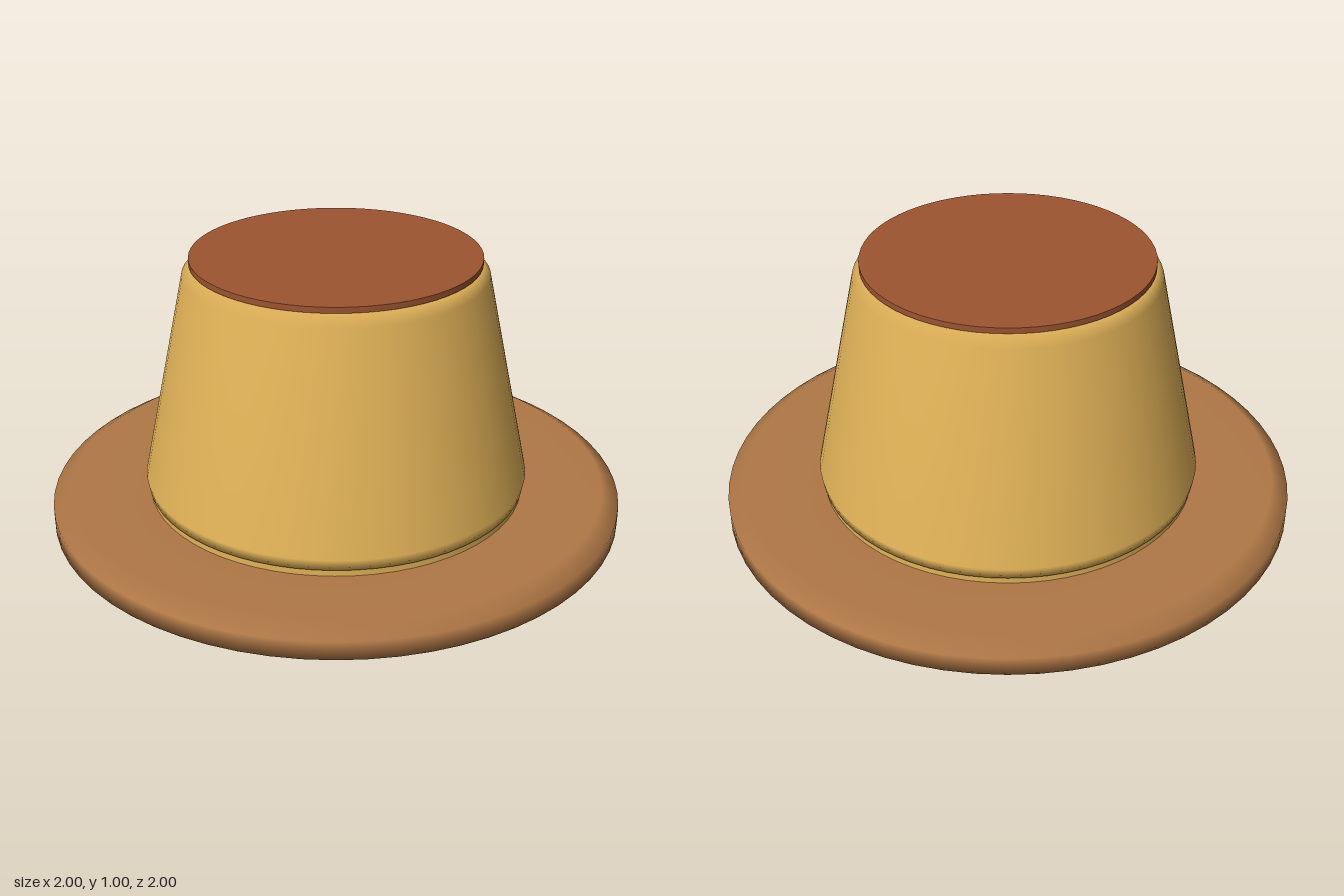
import * as THREE from 'three';

const SEGMENTS = 64;

function material(name, color) {
  const m = new THREE.MeshStandardMaterial({ color });
  m.name = name;
  return m;
}

export function createModel() {
  const group = new THREE.Group();
  group.name = 'custardOnPlate';

  const plateBrown = material('plate brown', 0xb07846);
  const custardYellow = material('custard yellow', 0xe2b358);
  const caramelRed = material('caramel red brown', 0x9c5430);

  const add = (name, geometry, mat, y = 0) => {
    const mesh = new THREE.Mesh(geometry, mat);
    mesh.name = name;
    mesh.position.y = y;
    group.add(mesh);
  };

  // Smooth turned solid from a bottom-to-top profile of [radius, height]
  const turned = (profile) => new THREE.LatheGeometry(
    profile.map(([r, y]) => new THREE.Vector2(r, y)), SEGMENTS);

  // Slightly dished plate with a bevelled rim
  add('plate', turned([
    [0, 0], [0.7, 0], [1, 0.08], [1, 0.145], [0.94, 0.18], [0.65, 0.155], [0, 0.155],
  ]), plateBrown);

  // Low foot joining the custard to the plate
  add('custardFoot', new THREE.CylinderGeometry(0.66, 0.66, 0.04, SEGMENTS), custardYellow, 0.165);

  // Tapered custard with softened top and bottom edges
  add('custardBody', turned([
    [0, 0.18], [0.665, 0.18], [0.672, 0.22], [0.518, 0.945], [0.488, 0.985], [0, 0.985],
  ]), custardYellow);

  // Thin caramel disc on top
  add('caramelTop', new THREE.CylinderGeometry(0.493, 0.493, 0.02, SEGMENTS), caramelRed, 0.995);

  return group;
}
